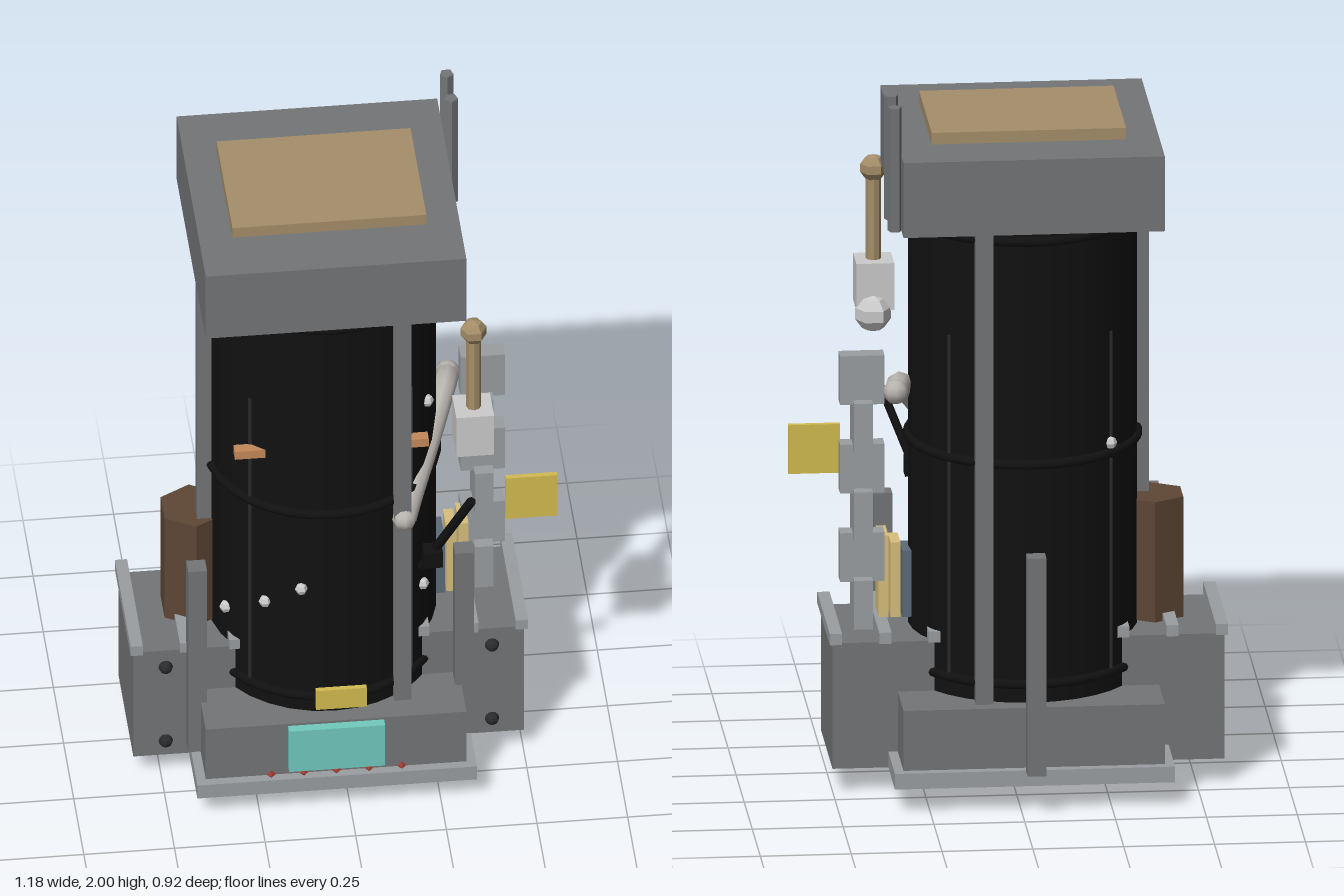
import * as THREE from 'three';

const CX = -0.0375, CZ = -0.01; // axis of the tower

const mat = (color, flat = true) => new THREE.MeshStandardMaterial({ color, flatShading: flat });
const steel = mat(0x737577), paleSteel = mat(0x9a9ea2), black = mat(0x111111, false), tan = mat(0xa58e6a),
  teal = mat(0x72cbbf), yellow = mat(0xd3bc50), brown = mat(0x5e4635), pale = mat(0xcccccc),
  cream = mat(0xd8bf7c), copper = mat(0xc48a5a), red = mat(0x9c3a30), slate = mat(0x5c6b78),
  bone = mat(0xb8b4ae, false), dark = mat(0x2a2b2d);

export function createModel() {
  const model = new THREE.Group();
  model.name = 'machineTower';

  const add = (name, geo, m, x = 0, y = 0, z = 0) => {
    const mesh = new THREE.Mesh(geo, m);
    mesh.name = name;
    mesh.position.set(x, y, z);
    model.add(mesh);
    return mesh;
  };
  // box from its limits on each axis
  const box = (name, m, x0, x1, y0, y1, z0, z1) =>
    add(name, new THREE.BoxGeometry(x1 - x0, y1 - y0, z1 - z0), m, (x0 + x1) / 2, (y0 + y1) / 2, (z0 + z1) / 2);
  const ball = (name, m, r, x, y, z, w = 8, h = 6) => add(name, new THREE.SphereGeometry(r, w, h), m, x, y, z);
  // rod between two points
  const rod = (name, m, a, b, r, sides = 6) => {
    const p = new THREE.Vector3(...a), q = new THREE.Vector3(...b), d = q.clone().sub(p);
    const mesh = add(name, new THREE.CylinderGeometry(r, r, d.length(), sides), m);
    mesh.position.copy(p.add(q).multiplyScalar(0.5));
    mesh.quaternion.setFromUnitVectors(new THREE.Vector3(0, 1, 0), d.normalize());
    return mesh;
  };

  // base and head
  box('basePlate', paleSteel, -0.423, 0.348, 0.07, 0.115, -0.396, 0.376);
  box('baseBlock', steel, -0.397, 0.322, 0.115, 0.287, -0.37, 0.35);
  box('headBlock', steel, -0.397, 0.322, 1.645, 1.86, -0.37, 0.35);
  box('headPad', tan, -0.305, 0.23, 1.86, 1.893, -0.205, 0.185);
  box('frontScreen', teal, -0.17, 0.095, 0.14, 0.28, 0.345, 0.376);
  box('frontLabel', yellow, -0.105, 0.035, 0.415, 0.48, 0.445, 0.46);
  for (let i = 0; i < 5; i++) add('indicator', new THREE.OctahedronGeometry(0.013), red, -0.217 + i * 0.09, 0.123, 0.358);

  // drum with hoops and upright seams
  add('drum', new THREE.CylinderGeometry(0.315, 0.315, 1.36, 32), black, CX, 0.966, CZ);
  for (const y of [0.34, 0.97, 1.61])
    add('drumHoop', new THREE.TorusGeometry(0.315, 0.014, 8, 32).rotateX(Math.PI / 2), black, CX, y, CZ);
  for (let i = 0; i < 4; i++) {
    const a = Math.PI * (0.25 + i / 2);
    add('drumSeam', new THREE.BoxGeometry(0.008, 0.97, 0.008), dark, CX + 0.315 * Math.cos(a), 0.835, CZ + 0.315 * Math.sin(a));
  }

  // three columns and three outer posts, a third of a turn apart
  for (let i = 0; i < 3; i++) {
    const a = (54 + i * 120) * Math.PI / 180, b = (30 + i * 120) * Math.PI / 180;
    add('column', new THREE.BoxGeometry(0.048, 1.36, 0.048), steel, CX + 0.327 * Math.cos(a), 0.966, CZ + 0.327 * Math.sin(a));
    add('outerPost', new THREE.BoxGeometry(0.052, 0.625, 0.052), steel, CX + 0.425 * Math.cos(b), 0.43, CZ + 0.425 * Math.sin(b));
  }

  // side cabinets with rails and bolts
  for (const s of [-1, 1]) {
    const x = CX + s * 0.395;
    box('sideCabinet', steel, x - 0.144, x + 0.144, 0.07, 0.43, -0.19, 0.17);
    for (const o of [-0.136, 0, 0.136]) box('cabinetRail', paleSteel, x + o - 0.017, x + o + 0.017, 0.43, 0.462, -0.207, 0.184);
    for (const y of [0.12, 0.375]) ball('cabinetBolt', dark, 0.02, CX + s * 0.45, y, 0.172);
  }

  // underside window frame with a hanging disc
  const frame = new THREE.Shape([[-1, -1], [1, -1], [1, 1], [-1, 1]].map(([x, y]) => new THREE.Vector2(x * 0.19, y * 0.19)));
  frame.holes.push(new THREE.Path([[-1, -1], [-1, 1], [1, 1], [1, -1]].map(([x, y]) => new THREE.Vector2(x * 0.175, y * 0.175))));
  add('bottomFrame', new THREE.ExtrudeGeometry(frame, { depth: 0.015, bevelEnabled: false }).rotateX(-Math.PI / 2), teal, CX, 0.055, CZ);
  box('bottomWindow', dark, CX - 0.175, CX + 0.175, 0.064, 0.072, CZ - 0.175, CZ + 0.175);
  const disc = ball('bottomDisc', black, 0.09, CX, 0.09, CZ, 20, 14);
  disc.scale.z = 0.13;

  // canister on the right cabinet
  add('canister', new THREE.CylinderGeometry(0.095, 0.095, 0.345, 6), brown, -0.393, 0.612, -0.0125);

  // pair of aerials
  for (const z of [-0.19, -0.3]) add('aerial', new THREE.CylinderGeometry(0.02, 0.02, 0.355, 5), steel, 0.34, 1.8225, z);

  // knobbed lever with its housing
  box('leverHousing', pale, 0.287, 0.391, 1.225, 1.36, 0.312, 0.416);
  rod('leverRod', tan, [0.34, 1.36, 0.365], [0.34, 1.61, 0.365], 0.021, 8);
  ball('leverKnob', tan, 0.038, 0.34, 1.62, 0.365, 6, 5);
  ball('leverJoint', bone, 0.052, 0.345, 1.217, 0.317, 6, 5).material = pale;

  // hanging chain of crossed links
  for (let i = 0; i < 6; i++) {
    const w = i % 2 ? 0.052 : 0.122, d = i % 2 ? 0.122 : 0.052;
    add('chainLink', new THREE.BoxGeometry(w, 0.14, d), paleSteel, 0.41, 1.15 - i * 0.127, -0.057);
  }
  box('sideSign', yellow, 0.45, 0.592, 0.81, 0.95, 0.16, 0.175);

  // bent arm
  const armPath = new THREE.CatmullRomCurve3([[0.16, 0.91, 0.27], [0.19, 0.95, 0.2], [0.25, 1.04, 0.08],
    [0.305, 1.125, -0.04], [0.32, 1.12, -0.1]].map(p => new THREE.Vector3(...p)));
  add('arm', new THREE.TubeGeometry(armPath, 20, 0.033, 8), bone);
  ball('armEnd', bone, 0.035, 0.32, 1.12, -0.1);
  ball('armTip', bone, 0.034, 0.16, 0.91, 0.27);

  // slanted handle with a clamp
  rod('handle', black, [0.21, 0.72, 0.245], [0.335, 1.03, 0.365], 0.013);
  box('handleClamp', black, 0.21, 0.262, 0.762, 0.812, 0.26, 0.31);

  // upright folders on the left cabinet
  box('folder', slate, 0.268, 0.298, 0.46, 0.65, -0.06, 0.035);
  box('folder', cream, 0.303, 0.33, 0.46, 0.675, -0.06, 0.03);
  box('folder', cream, 0.336, 0.363, 0.46, 0.695, -0.06, 0.035);

  // tabs and rivets on the drum
  for (const x of [-0.26, 0.185]) box('drumTab', copper, x - 0.045, x + 0.045, 1.135, 1.162, 0.213, 0.245);
  for (const [x, y, s] of [[0.237, 1.22, 1], [-0.222, 0.64, 1], [-0.127, 0.71, 1], [-0.318, 0.545, 1], [0.222, 0.605, 1], [-0.26, 1.0, -1]])
    ball('rivet', pale, 0.018, x, y, CZ + s * Math.sqrt(0.317 ** 2 - (x - CX) ** 2), 6, 4);

  return model;
}
